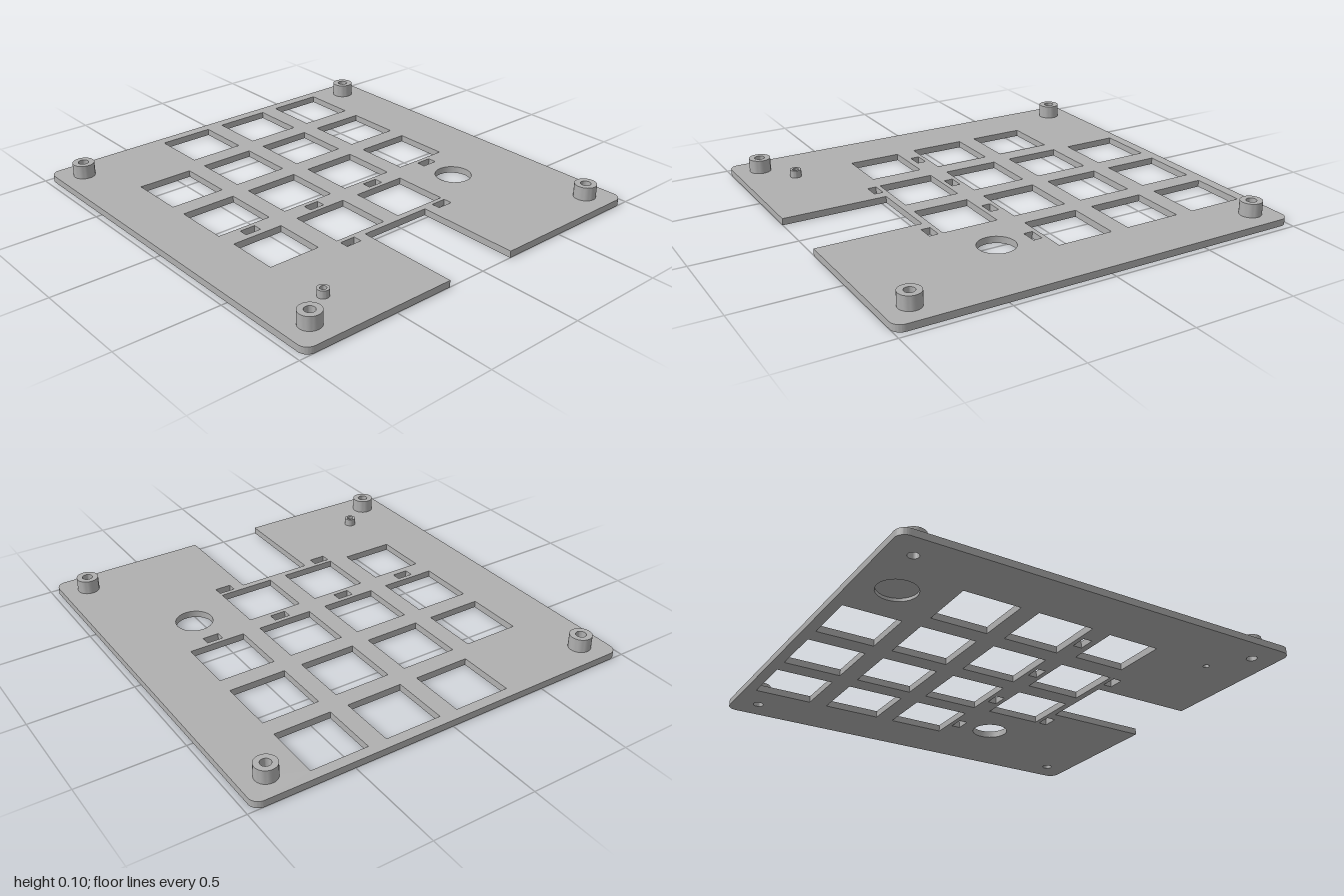
import * as THREE from 'three';
import { toCreasedNormals } from 'three/addons/utils/BufferGeometryUtils.js';

const T = 0.033; // plate thickness
const RECESS = 0.015; // depth of the blind pocket underneath
const SEG = 12; // curve divisions

// Outlines are drawn as (x, -z) and laid flat afterwards.
function rectHole(cx, cz, w, d) {
  const x = w / 2, y = d / 2;
  return new THREE.Path([[-x, -y], [-x, y], [x, y], [x, -y], [-x, -y]]
    .map(([a, b]) => new THREE.Vector2(cx + a, -cz + b)));
}

function roundHole(cx, cz, r) {
  return new THREE.Path().absarc(cx, -cz, r, 0, Math.PI * 2, true);
}

// Rounded plate with a notch cut in its front edge
function plateOutline() {
  const w = 0.97, d = 1, r = 0.048;
  const s = new THREE.Shape();
  s.moveTo(-w + r, -d);
  s.lineTo(-0.2, -d);
  s.lineTo(-0.2, -0.477);
  s.lineTo(0.174, -0.477);
  s.lineTo(0.174, -d);
  s.absarc(w - r, -d + r, r, -Math.PI / 2, 0);
  s.absarc(w - r, d - r, r, 0, Math.PI / 2);
  s.absarc(-w + r, d - r, r, Math.PI / 2, Math.PI);
  s.absarc(-w + r, -d + r, r, Math.PI, Math.PI * 1.5);
  return s;
}

// Flat face with holes at a given height
function face(holes, y, down) {
  const s = plateOutline();
  s.holes.push(...holes);
  const g = new THREE.ShapeGeometry(s, SEG);
  g.rotateX(-Math.PI / 2).translate(0, y, 0);
  if (down) {
    g.index.array.reverse();
    g.computeVertexNormals();
  }
  return g;
}

// Upright walls along a closed outline
function wall(path, y0, y1, clockwise) {
  const pts = path.getPoints(SEG);
  if (THREE.ShapeUtils.isClockWise(pts) !== clockwise) pts.reverse();
  const pos = [];
  pts.forEach((p, i) => {
    const q = pts[(i + 1) % pts.length];
    if (p.distanceTo(q) < 1e-6) return;
    const a = [p.x, y0, -p.y], b = [q.x, y0, -q.y];
    const c = [q.x, y1, -q.y], d = [p.x, y1, -p.y];
    pos.push(...a, ...b, ...c, ...a, ...c, ...d);
  });
  const g = new THREE.BufferGeometry();
  g.setAttribute('position', new THREE.Float32BufferAttribute(pos, 3));
  return toCreasedNormals(g, 0.6);
}

// Hollow post whose bore runs through the plate
function postGeometry(outer, inner, top) {
  const profile = [[outer, T], [outer, top], [inner, top], [inner, 0]]
    .map(([r, y]) => new THREE.Vector2(r, y));
  return toCreasedNormals(new THREE.LatheGeometry(profile, 32), 0.6);
}

export function createModel() {
  const model = new THREE.Group();
  model.name = 'keypadPlate';
  const grey = new THREE.MeshStandardMaterial({ color: 0xb0b0b0 });
  grey.name = 'grey';

  const add = (name, geometry, parent = model) => {
    const m = new THREE.Mesh(geometry, grey);
    m.name = name;
    parent.add(m);
    return m;
  };

  // Key openings: four columns by four rows, with the special places left out
  const cols = [-0.568, -0.198, 0.172, 0.542];
  const rows = [-0.808, -0.437, -0.067, 0.304];
  const through = [];
  rows.forEach((z, r) => cols.forEach((x, c) => {
    if (r === 0 && c === 0) return; // blind pocket sits here
    if (r === 3 && c === 3) through.push(roundHole(x, z, 0.09)); // knob hole
    else {
      const size = r === 3 && c === 0 ? 0.262 : 0.28;
      through.push(rectHole(x, z, size, size));
    }
  }));

  // Small slots
  cols.forEach((x) => through.push(rectHole(x, 0.118, 0.08, 0.045)));
  [-0.296, 0.272].forEach((x) => through.push(rectHole(x, 0.489, 0.08, 0.045)));

  // Posts: [name, x, z, outer radius, bore radius, top]
  const posts = [['locatingPost', -0.674, 0.75, 0.028, 0.015, 0.07]];
  for (const x of [-0.846, 0.844])
    for (const z of [-0.878, 0.874])
      posts.push(['cornerPost', x, z, 0.053, 0.025, 0.1]);

  // Plate
  const plate = new THREE.Group();
  plate.name = 'plate';
  model.add(plate);
  const pocket = roundHole(cols[0], rows[0], 0.093);
  const bores = posts.map(([, x, z, , r]) => roundHole(x, z, r));
  add('plateTop', face([...through, ...bores], T, false), plate);
  add('plateUnderside', face([...through, ...bores, pocket], 0, true), plate);
  add('plateEdge', wall(plateOutline(), 0, T, false), plate);
  through.forEach((h) => add('openingWall', wall(h, 0, T, true), plate));

  // Blind pocket in the underside
  add('pocketWall', wall(pocket, 0, RECESS, true), plate);
  const floor = new THREE.CircleGeometry(0.093, 24).rotateX(Math.PI / 2);
  add('pocketFloor', floor, plate).position.set(cols[0], RECESS, rows[0]);

  // Standing posts
  for (const [name, x, z, outer, inner, top] of posts)
    add(name, postGeometry(outer, inner, top)).position.set(x, 0, z);

  return model;
}
